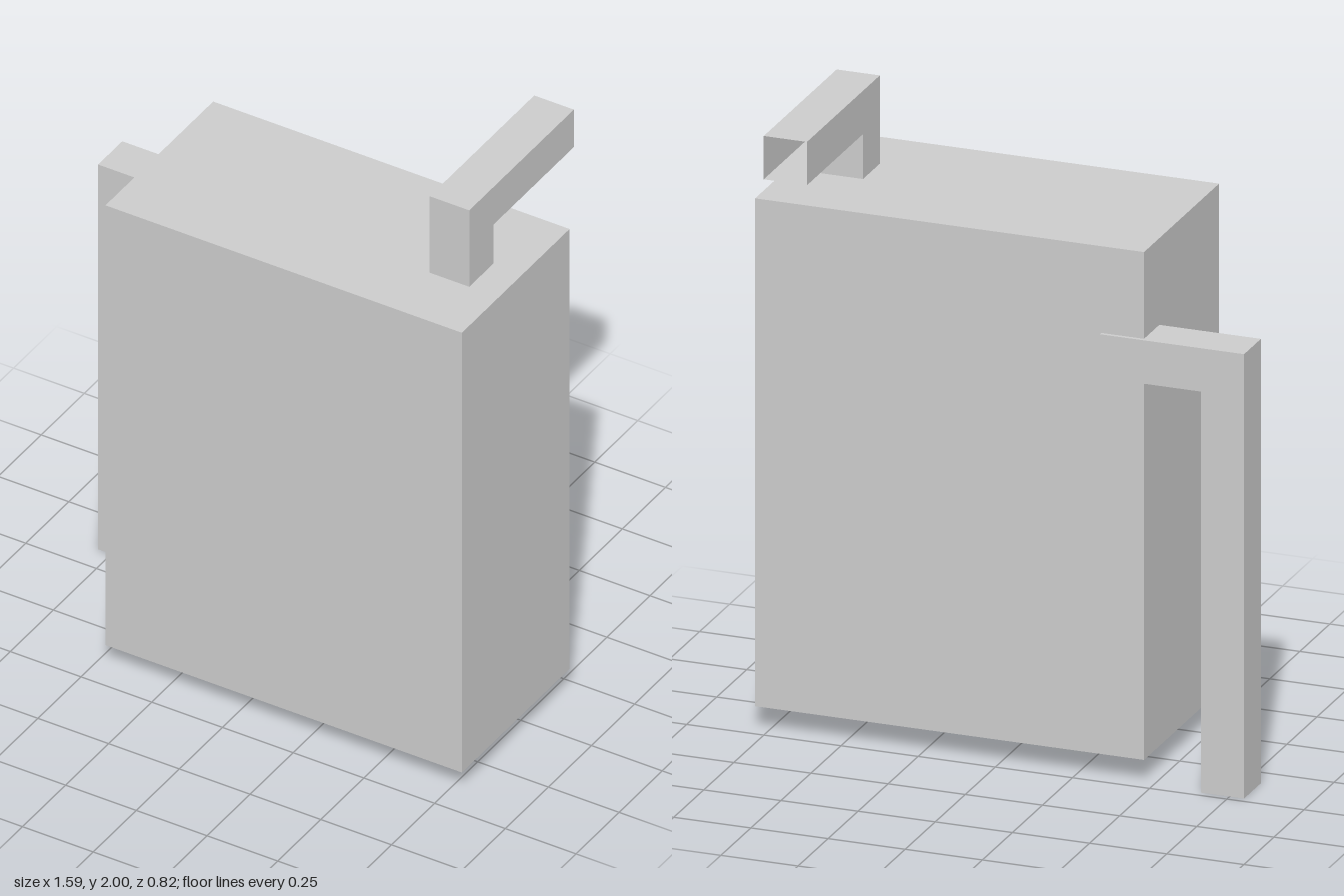
import * as THREE from 'three';

const HALF = 0.07; // half the width of the square pipes

// Open-ended square pipe along a -> b -> c with one mitred right-angle bend
function bentPipe(name, a, b, c, material) {
  const [A, B, C] = [a, b, c].map((p) => new THREE.Vector3(...p));
  const d1 = B.clone().sub(A).normalize();
  const d2 = C.clone().sub(B).normalize();
  const w = d1.clone().cross(d2);
  const n1 = w.clone().cross(d1);
  const n2 = w.clone().cross(d2);
  const ring = (p, n) => [[1, 1], [-1, 1], [-1, -1], [1, -1]].map(([s, t]) =>
    p.clone().addScaledVector(n, s * HALF).addScaledVector(w, t * HALF));
  const rings = [ring(A, n1), ring(B, n1.clone().add(n2)), ring(C, n2)];

  const points = [];
  for (let i = 0; i < 2; i++) {
    for (let k = 0; k < 4; k++) {
      const j = (k + 1) % 4;
      const [p, q, r, s] = [rings[i][k], rings[i][j], rings[i + 1][j], rings[i + 1][k]];
      points.push(p, q, r, p, r, s);
    }
  }
  const geometry = new THREE.BufferGeometry().setFromPoints(points);
  geometry.computeVertexNormals();
  const mesh = new THREE.Mesh(geometry, material);
  mesh.name = name;
  return mesh;
}

export function createModel() {
  const model = new THREE.Group();
  model.name = 'tankWithPipes';
  const solid = new THREE.MeshStandardMaterial({ color: 0xcccccc, flatShading: true });
  const sheet = new THREE.MeshStandardMaterial({ color: 0xcccccc, flatShading: true, side: THREE.DoubleSide });

  // Main tank
  const tank = new THREE.Mesh(new THREE.BoxGeometry(1.26, 1.64, 0.625), solid);
  tank.name = 'tank';
  tank.position.set(0.162, 0.895, 0.098);
  model.add(tank);

  // Pipe rising from the top and bending to the back
  model.add(bentPipe('topPipe', [0.618, 1.715, 0.127], [0.618, 1.93, 0.127], [0.618, 1.93, -0.41], sheet));

  // Pipe leaving the right side and dropping to the ground
  model.add(bentPipe('sidePipe', [-0.33, 1.365, -0.157], [-0.727, 1.365, -0.157], [-0.727, 0, -0.157], sheet));

  return model;
}
